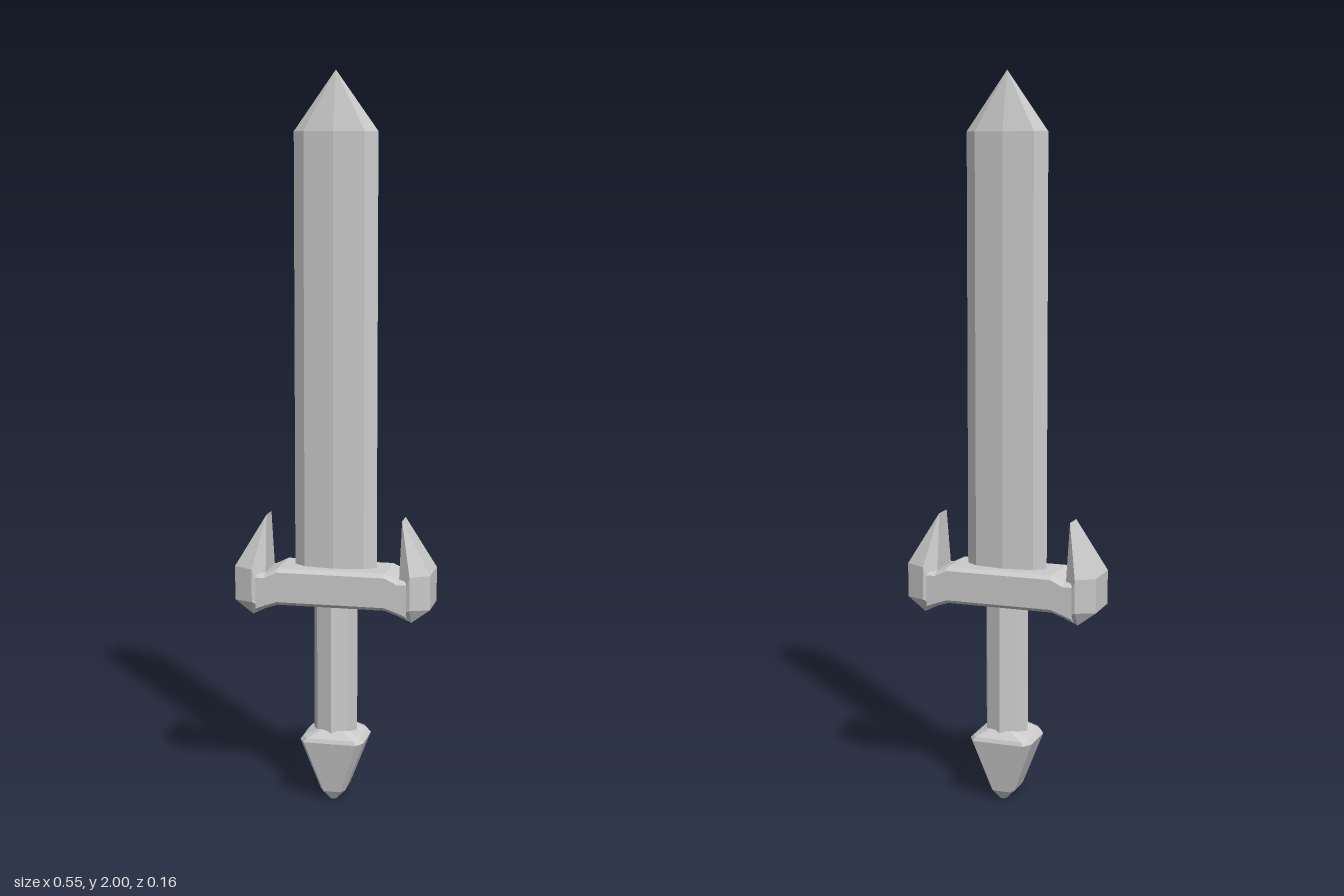
import * as THREE from 'three';
import { ConvexGeometry } from 'three/addons/geometries/ConvexGeometry.js';

const material = new THREE.MeshStandardMaterial({ color: 0xcccccc, flatShading: true });

// Skin a list of equal-length rings of [x, y, z] points and cap both ends.
function loft(rings) {
  const pos = [];
  const n = rings[0].length;
  const tri = (...pts) => pts.forEach((p) => pos.push(...p));
  for (let i = 0; i < rings.length - 1; i++) {
    for (let j = 0; j < n; j++) {
      const k = (j + 1) % n;
      const [a, b, c, d] = [rings[i][j], rings[i][k], rings[i + 1][k], rings[i + 1][j]];
      tri(a, d, c);
      tri(a, c, b);
    }
  }
  const first = rings[0];
  const last = rings[rings.length - 1];
  for (let j = 1; j < n - 1; j++) {
    tri(first[0], first[j], first[j + 1]);
    tri(last[0], last[j + 1], last[j]);
  }
  const geometry = new THREE.BufferGeometry();
  geometry.setAttribute('position', new THREE.Float32BufferAttribute(pos, 3));
  geometry.computeVertexNormals();
  return geometry;
}

// Chamfered rectangle, counter-clockwise: half sizes a, b; flat half lengths fa, fb.
function octagon(a, b, fa, fb) {
  return [[a, -fb], [a, fb], [fa, b], [-fa, b], [-a, fb], [-a, -fb], [-fa, -b], [fa, -b]];
}

function addPart(group, name, geometry) {
  const mesh = new THREE.Mesh(geometry, material);
  mesh.name = name;
  group.add(mesh);
  return mesh;
}

export function createModel() {
  const sword = new THREE.Group();
  sword.name = 'sword';

  // Blade: long lens section, then a short faceted point
  const lens = [[0.115, 0], [0.083, 0.024], [0, 0.037], [-0.083, 0.024],
    [-0.115, 0], [-0.083, -0.024], [0, -0.037], [0.083, -0.024]];
  const bladeRing = (y, s) => lens.map(([x, z]) => [x * s, y, z * s]);
  addPart(sword, 'blade', loft([bladeRing(0.6, 1), bladeRing(1.84, 1), bladeRing(2, 0.001)]));

  // Crossguard bar: chamfered section that dips slightly towards the ends
  const bar = [
    [-0.21, 0.643, 0.535], [-0.185, 0.643, 0.545], [-0.15, 0.66, 0.557],
    [0.15, 0.66, 0.557], [0.185, 0.643, 0.545], [0.21, 0.643, 0.535],
  ].map(([x, top, bottom]) => {
    const mid = (top + bottom) / 2;
    const half = (top - bottom) / 2;
    return octagon(0.076, half, 0.065, half - 0.01).map(([z, y]) => [x, mid + y, z]);
  });
  addPart(sword, 'crossguard', loft(bar));

  // Guard ends: faceted blocks rising into inward-leaning horns
  const endPoints = [
    [0.19, 0.8, 0.028], [0.273, 0.658, 0.055], [0.273, 0.563, 0.055],
    [0.22, 0.655, 0.077], [0.22, 0.563, 0.077], [0.222, 0.525, 0.055],
    [0.19, 0.645, 0.04], [0.185, 0.545, 0.065],
  ];
  for (const [side, name] of [[1, 'leftGuardHorn'], [-1, 'rightGuardHorn']]) {
    const points = endPoints.flatMap(([x, y, z]) =>
      [z, -z].map((w) => new THREE.Vector3(side * x, y, w)));
    addPart(sword, name, new ConvexGeometry(points));
  }

  // Grip: straight octagonal rod
  const grip = addPart(sword, 'grip', new THREE.CylinderGeometry(0.061, 0.061, 0.4, 8));
  grip.position.y = 0.37;

  // Pommel: tapered wedge with a sloped shoulder
  const pommel = [
    [0, 0.01, 0.038, 0.006, 0.03],
    [0.025, 0.034, 0.052, 0.024, 0.036],
    [0.172, 0.09, 0.078, 0.074, 0.05],
    [0.183, 0.08, 0.074, 0.066, 0.05],
    [0.203, 0.04, 0.055, 0.03, 0.04],
  ].map(([y, ...size]) => octagon(...size).map(([x, z]) => [x, y, z]));
  addPart(sword, 'pommel', loft(pommel));

  return sword;
}
